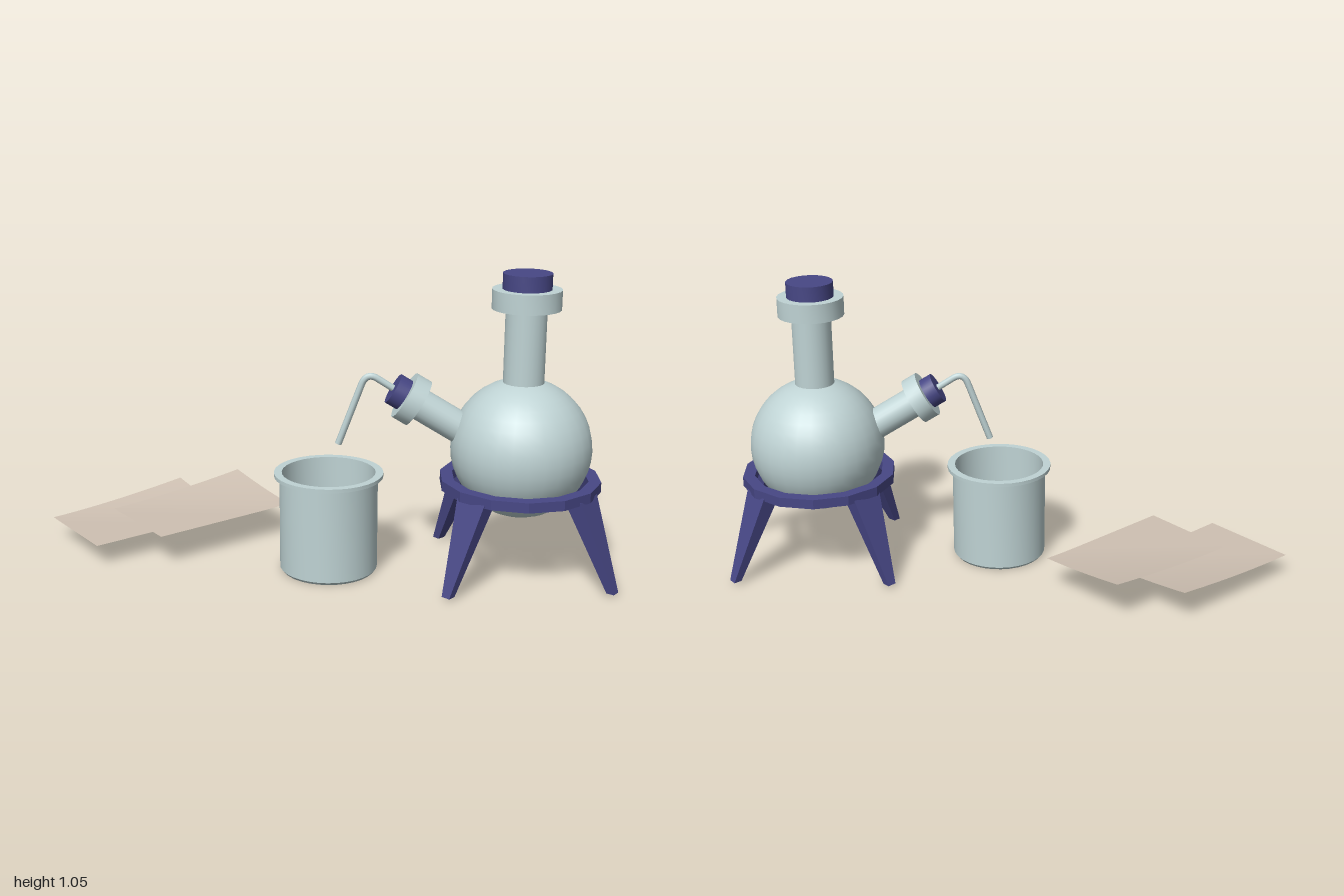
import * as THREE from 'three';
import { toCreasedNormals } from 'three/addons/utils/BufferGeometryUtils.js';

const glass = new THREE.MeshStandardMaterial({ color: 0xbfd3d4 });
const blue = new THREE.MeshStandardMaterial({ color: 0x474785 });
const blueFlat = new THREE.MeshStandardMaterial({ color: 0x474785, flatShading: true });
const orange = new THREE.MeshStandardMaterial({ color: 0xcc660d });
const paper = new THREE.MeshStandardMaterial({ color: 0xcfc1b3, side: THREE.DoubleSide });

function add(parent, name, geometry, material) {
  const mesh = new THREE.Mesh(geometry, material);
  mesh.name = name;
  parent.add(mesh);
  return mesh;
}

// Solid of revolution from [radius, height] pairs, keeping hard edges
function turned(profile, segments) {
  const points = profile.map(([r, y]) => new THREE.Vector2(r, y));
  return toCreasedNormals(new THREE.LatheGeometry(points, segments), 0.6);
}

// Neck, collar and stopper along local +y, with y = 0 at the collar's middle
function makeNeck(name, { radius, length, collar, collarHeight, stopper, stopperTop }) {
  const neck = new THREE.Group();
  neck.name = name;
  const h = collarHeight / 2;
  const tube = add(neck, name + 'Tube', new THREE.CylinderGeometry(radius, radius, length, 24), glass);
  tube.position.y = -length / 2;
  add(neck, name + 'Collar', turned([[0, -h], [collar, -h], [collar, h], [0, h]], 24), glass);
  add(neck, name + 'Stopper', turned([[0, 0], [stopper, 0], [stopper, stopperTop], [0, stopperTop]], 20), blue);
  return neck;
}

function makeFlask() {
  const flask = new THREE.Group();
  flask.name = 'flask';
  add(flask, 'flaskBulb', new THREE.SphereGeometry(0.242, 28, 20), glass).position.y = 0.45;

  const mainNeck = makeNeck('mainNeck', {
    radius: 0.07, length: 0.33, collar: 0.117, collarHeight: 0.067, stopper: 0.083, stopperTop: 0.087,
  });
  mainNeck.position.y = 0.968;
  flask.add(mainNeck);

  const sideNeck = makeNeck('sideNeck', {
    radius: 0.055, length: 0.26, collar: 0.086, collarHeight: 0.056, stopper: 0.056, stopperTop: 0.073,
  });
  sideNeck.position.set(-0.378, 0.618, 0);
  sideNeck.rotation.z = 1.03;
  flask.add(sideNeck);

  // Bent delivery tube: two straight runs joined by a rounded elbow
  const p = (x, y) => new THREE.Vector3(x, y, 0);
  const path = new THREE.CurvePath();
  path.add(new THREE.LineCurve3(p(-0.43, 0.649), p(-0.495, 0.69)));
  path.add(new THREE.QuadraticBezierCurve3(p(-0.495, 0.69), p(-0.532, 0.713), p(-0.549, 0.668)));
  path.add(new THREE.LineCurve3(p(-0.549, 0.668), p(-0.627, 0.457)));
  const tubeMaterial = glass.clone();
  tubeMaterial.side = THREE.DoubleSide;
  add(flask, 'deliveryTube', new THREE.TubeGeometry(path, 40, 0.012, 8), tubeMaterial);
  return flask;
}

// Tapered leg, splayed outwards along local +x
function legGeometry() {
  const g = new THREE.BoxGeometry(1, 1, 1);
  const pos = g.attributes.position;
  for (let i = 0; i < pos.count; i++) {
    const top = pos.getY(i) > 0;
    const outer = pos.getX(i) > 0;
    const x = top ? (outer ? 0.268 : 0.205) : (outer ? 0.388 : 0.36);
    pos.setXYZ(i, x, top ? 0.32 : 0.01, pos.getZ(i) * (top ? 0.115 : 0.032));
  }
  g.computeVertexNormals();
  return g;
}

function makeStand() {
  const stand = new THREE.Group();
  stand.name = 'stand';
  const ring = [[0.235, 0.31], [0.278, 0.31], [0.278, 0.345], [0.235, 0.345], [0.235, 0.31]];
  add(stand, 'standRing', new THREE.LatheGeometry(ring.map(([r, y]) => new THREE.Vector2(r, y)), 14), blueFlat);
  const leg = legGeometry();
  for (const degrees of [37, 133, -133, -37]) {
    add(stand, 'standLeg', leg, blueFlat).rotation.y = THREE.MathUtils.degToRad(degrees);
  }
  return stand;
}

function makeBeaker() {
  const beaker = new THREE.Group();
  beaker.name = 'beaker';
  add(beaker, 'beakerWall', turned([
    [0, 0], [0.163, 0], [0.171, 0.01], [0.171, 0.338], [0.19, 0.342], [0.19, 0.355],
    [0.163, 0.355], [0.163, 0.02], [0, 0.02],
  ], 32), glass);
  const liquid = add(beaker, 'liquid', new THREE.CircleGeometry(0.163, 32), orange);
  liquid.rotation.x = -Math.PI / 2;
  liquid.position.y = 0.1;
  return beaker;
}

// Sheet spanned by two edges from its left corner, with the back corner curling up
function sheetGeometry() {
  const g = new THREE.PlaneGeometry(1, 1, 12, 12);
  const pos = g.attributes.position;
  for (let i = 0; i < pos.count; i++) {
    const u = pos.getX(i) + 0.5;
    const v = pos.getY(i) + 0.5;
    const x = 0.215 * u + 0.43 * v;
    const z = -0.1 + 0.28 * u - 0.345 * v;
    const lift = Math.max(0, -0.08 - z) / 0.365;
    pos.setXYZ(i, x, 0.042 * lift ** 1.7, z);
  }
  g.computeVertexNormals();
  return g;
}

export function createModel() {
  const model = new THREE.Group();
  model.name = 'distillationSet';

  const apparatus = new THREE.Group();
  apparatus.name = 'apparatus';
  apparatus.add(makeFlask(), makeStand());
  apparatus.position.set(0.69, 0, 0.153);
  model.add(apparatus);

  const beaker = makeBeaker();
  beaker.position.set(0.03, 0, 0.153);
  model.add(beaker);

  const sheet = sheetGeometry();
  add(model, 'lowerSheet', sheet, paper).position.set(-1, 0.08, 0);
  add(model, 'upperSheet', sheet, paper).position.set(-0.772, 0.117, 0);
  return model;
}
